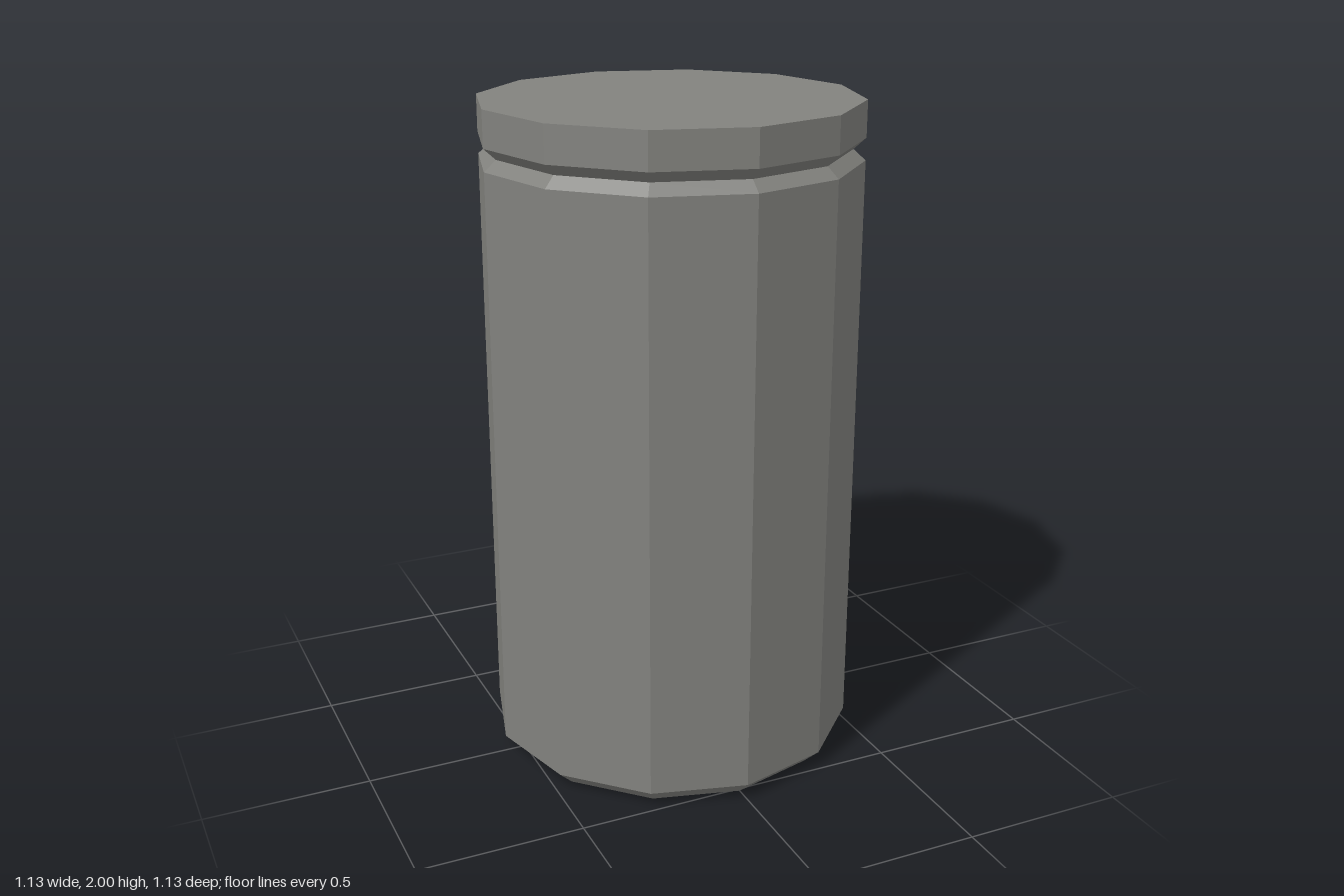
import * as THREE from 'three';

const SIDES = 12;
const R = 0.563; // outer radius
const NECK = 0.527; // radius at the bottom of the groove

export function createModel() {
  const group = new THREE.Group();
  group.name = 'canister';
  const grey = new THREE.MeshStandardMaterial({ color: 0x82827e, flatShading: true });
  grey.name = 'warm grey';

  // Faceted turned part from a bottom-to-top [radius, height] profile
  function turned(name, profile) {
    const points = profile.map(([r, y]) => new THREE.Vector2(r, y));
    const mesh = new THREE.Mesh(new THREE.LatheGeometry(points, SIDES), grey);
    mesh.name = name;
    group.add(mesh);
  }

  // Closed base, bottom chamfer, straight wall and lower slope of the groove
  turned('body', [[0, 0], [0.51, 0], [R, 0.05], [R, 1.827], [NECK, 1.859]]);

  // Upper slope of the groove, rim and flat top
  turned('lid', [[NECK, 1.859], [R, 1.892], [R, 2], [0, 2]]);

  return group;
}
